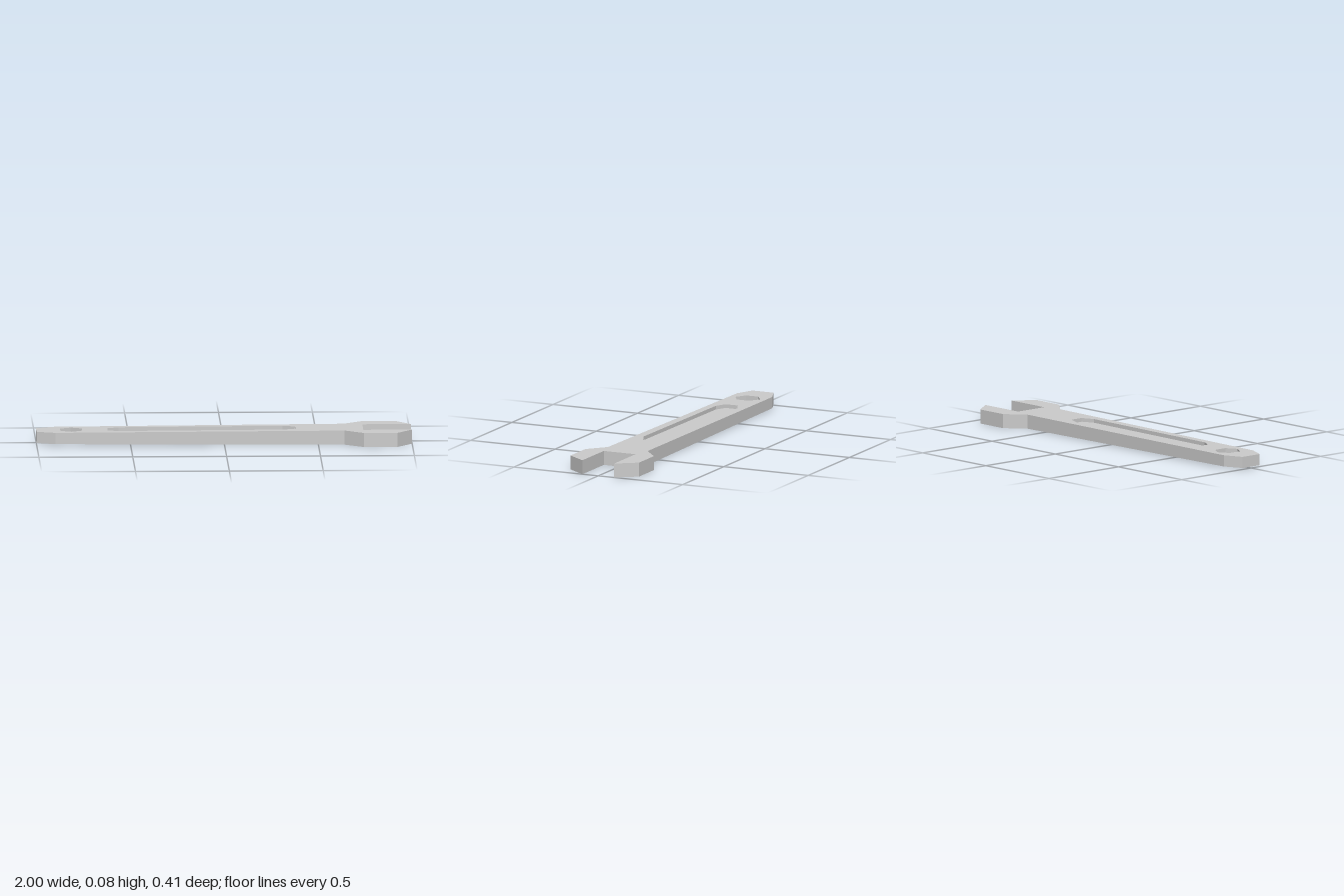
import * as THREE from 'three';
import { mergeGeometries } from 'three/addons/utils/BufferGeometryUtils.js';

const MID = 0.038;
const RECESS = 0.02;

// The handle thins slightly from the head towards its tail.
const half = x => 0.03 + 0.008 * Math.min(1, (x + 1) / 1.64);
const top = x => MID + half(x);
const bottom = x => MID - half(x);
const recessFloor = x => top(x) - RECESS;

// Mirrors the lower half of an outline (listed tail to head) into a full loop.
const mirrored = pts => [...pts, ...pts.map(([x, s]) => [x, -s]).reverse()];

// Horizontal face filling a loop, with its height given along x.
function cap(loop, holes, height, down = false) {
  const vec = l => l.map(([x, s]) => new THREE.Vector2(x, s));
  const shape = new THREE.Shape(vec(loop));
  holes.forEach(h => shape.holes.push(new THREE.Path(vec(h))));
  const geo = new THREE.ShapeGeometry(shape).rotateX(-Math.PI / 2).toNonIndexed();
  const p = geo.attributes.position;
  for (let i = 0; i < p.count; i++) p.setY(i, height(p.getX(i)));
  if (down) {
    for (let i = 0; i < p.count; i += 3) {
      const a = new THREE.Vector3().fromBufferAttribute(p, i + 1);
      const b = new THREE.Vector3().fromBufferAttribute(p, i + 2);
      p.setXYZ(i + 1, b.x, b.y, b.z);
      p.setXYZ(i + 2, a.x, a.y, a.z);
    }
  }
  geo.deleteAttribute('uv');
  geo.deleteAttribute('normal');
  return geo;
}

// Upright faces along a path; counter-clockwise paths face outwards.
function wall(path, low, high) {
  const v = [];
  for (let i = 0; i < path.length - 1; i++) {
    const [ax, as] = path[i], [bx, bs] = path[i + 1];
    v.push(ax, low(ax), -as, bx, low(bx), -bs, bx, high(bx), -bs);
    v.push(ax, low(ax), -as, bx, high(bx), -bs, ax, high(ax), -as);
  }
  const geo = new THREE.BufferGeometry();
  geo.setAttribute('position', new THREE.Float32BufferAttribute(v, 3));
  return geo;
}

const closed = loop => [...loop, loop[0]];
const inward = loop => closed(loop).reverse();

export function createModel() {
  const group = new THREE.Group();
  group.name = 'openEndWrench';
  const material = new THREE.MeshStandardMaterial({ color: 0xcccccc, flatShading: true });

  const add = (name, parts) => {
    const geo = mergeGeometries(parts);
    geo.computeVertexNormals();
    const mesh = new THREE.Mesh(geo, material);
    mesh.name = name;
    group.add(mesh);
  };

  // Outlines as seen from above
  const handle = mirrored([[-1, -0.062], [-0.9, -0.105], [0.64, -0.117]]);
  const head = mirrored([[0.64, -0.117], [0.74, -0.203], [0.92, -0.203], [1, -0.094], [0.74, -0.094]]);
  const hexHole = mirrored([[-0.872, -0.037], [-0.814, -0.072], [-0.756, -0.037]]
    .filter(([x]) => x !== -0.814));
  hexHole.splice(1, 0, [-0.814, -0.072]);
  hexHole.splice(4, 0, [-0.814, 0.072]);
  const groove = mirrored([[-0.62, -0.036], [-0.56, -0.065], [0.315, -0.065], [0.38, -0.036]]);

  // Handle, open where it joins the head
  const tail = [...handle.slice(3), ...handle.slice(0, 3)];
  add('handle', [
    cap(handle, [hexHole, groove], top),
    cap(handle, [hexHole], bottom, true),
    wall(tail, bottom, top),
  ]);

  // Hanging hole through the tail
  add('hangingHole', [wall(inward(hexHole), bottom, top)]);

  // Shallow grip recess on the upper face
  add('gripRecess', [
    cap(groove, [], recessFloor),
    wall(inward(groove), recessFloor, top),
  ]);

  // Forked head with the open jaw
  add('jawHead', [
    cap(head, [], top),
    cap(head, [], bottom, true),
    wall(head, bottom, top),
  ]);

  return group;
}
